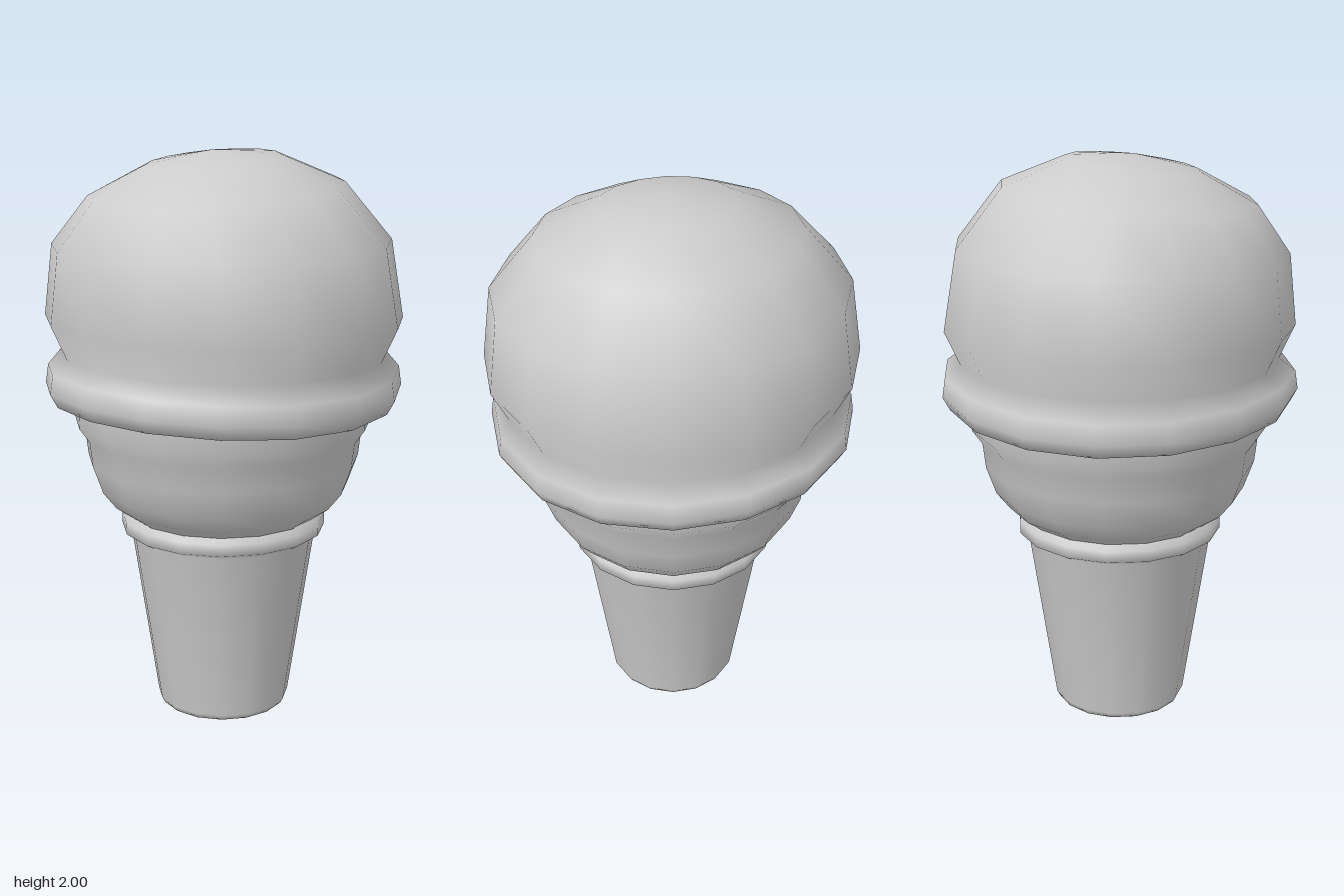
import * as THREE from 'three';
import { mergeVertices } from 'three/addons/utils/BufferGeometryUtils.js';

const material = new THREE.MeshStandardMaterial({ color: 0xcccccc, side: THREE.DoubleSide });
const SIDES = 16;

// Turn a [radius, height] profile, optionally reshape it, and smooth it across the seam
function turned(name, profile, reshape) {
  const lathe = new THREE.LatheGeometry(profile.map(([r, y]) => new THREE.Vector2(r, y)), SIDES);
  const p = lathe.attributes.position;
  const v = new THREE.Vector3();
  if (reshape) {
    for (let i = 0; i < p.count; i++) {
      reshape(v.fromBufferAttribute(p, i));
      p.setXYZ(i, v.x, v.y, v.z);
    }
  }
  lathe.deleteAttribute('uv');
  lathe.deleteAttribute('normal');
  const geometry = mergeVertices(lathe, 1e-4);
  geometry.computeVertexNormals();
  const mesh = new THREE.Mesh(geometry, material);
  mesh.name = name;
  return mesh;
}

// Lopsided top, slightly flattened front to back, with a wavy skirt
function meltScoop(v) {
  const r2 = v.x * v.x + v.z * v.z;
  const wave = r2 > 1e-6 ? (v.x * v.x - v.z * v.z) / r2 : 0;
  const tilt = THREE.MathUtils.clamp((v.y - 1.6) / 0.4, 0, 1);
  v.z *= v.y > 1.3 && v.y < 1.75 ? 0.95 : 0.99;
  if (v.y < 1.3) v.y -= 0.012 * wave;
  v.y -= 0.12 * tilt * v.z;
  v.z += 0.05 * tilt;
}

export function createModel() {
  const model = new THREE.Group();
  model.name = 'iceCreamCone';

  // Tapered wafer stem with a closed foot
  model.add(turned('waferStem', [
    [0, 0], [0.23, 0], [0.24, 0.02], [0.332, 0.65],
    [0.365, 0.67], [0.365, 0.71], [0.33, 0.735],
  ]));

  // Rounded wafer cup, its lip hidden under the scoop
  model.add(turned('waferCup', [
    [0.33, 0.72], [0.40, 0.77], [0.447, 0.83], [0.482, 0.93],
    [0.492, 1.02], [0.527, 1.07], [0.527, 1.18],
  ]));

  // Scoop with its overhanging skirt
  model.add(turned('scoop', [
    [0.5, 1.16], [0.605, 1.143], [0.63, 1.19], [0.62, 1.255], [0.585, 1.31],
    [0.64, 1.43], [0.60, 1.69], [0.44, 1.87], [0.23, 1.967], [0, 2.0],
  ], meltScoop));

  return model;
}
